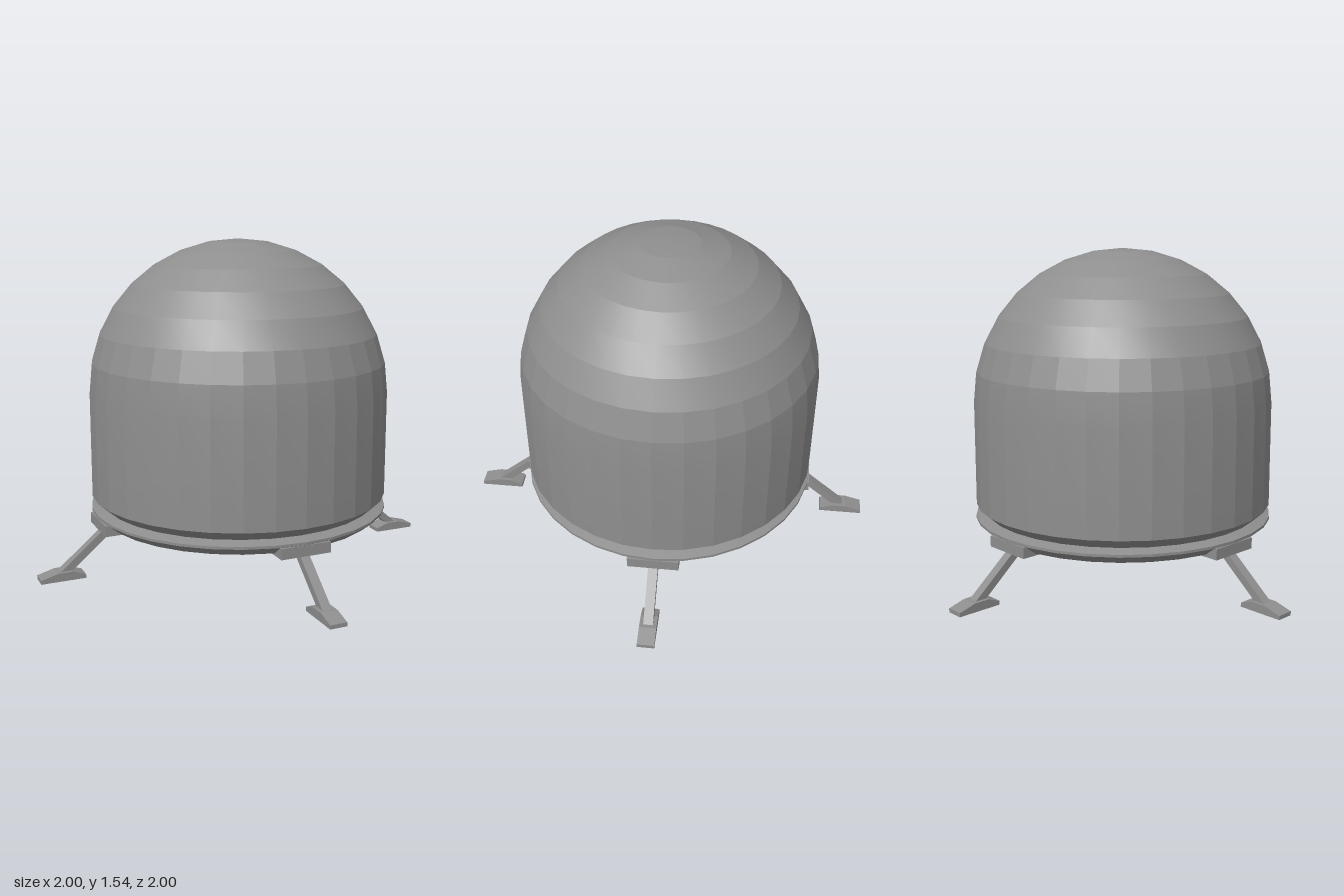
import * as THREE from 'three';
import { toCreasedNormals } from 'three/addons/utils/BufferGeometryUtils.js';

const SIDES = 32;
const CREASE = THREE.MathUtils.degToRad(10);
const material = new THREE.MeshStandardMaterial({ color: 0x8e8e8e });

function addMesh(parent, name, geometry) {
  const mesh = new THREE.Mesh(toCreasedNormals(geometry, CREASE), material);
  mesh.name = name;
  parent.add(mesh);
}

// Revolved profile, listed as [radius, height] from bottom to top
function revolve(profile) {
  return new THREE.LatheGeometry(profile.map(([r, y]) => new THREE.Vector2(r, y)), SIDES);
}

// Side outline as [outward distance, height], extruded to a centred width.
// Outward distance runs along +x.
function slab(outline, width) {
  const shape = new THREE.Shape(outline.map(([x, y]) => new THREE.Vector2(x, y)));
  const geometry = new THREE.ExtrudeGeometry(shape, { depth: width, bevelEnabled: false });
  return geometry.translate(0, 0, -width / 2);
}

// One landing leg pointing along +x
function createLeg() {
  const leg = new THREE.Group();
  addMesh(leg, 'bracket', slab([[0.62, 0.212], [0.715, 0.212], [0.715, 0.262], [0.62, 0.262]], 0.24));
  addMesh(leg, 'strut', slab([[0.635, 0.22], [0.86, 0.03], [0.915, 0.03], [0.69, 0.22]], 0.045));
  addMesh(leg, 'foot', slab(
    [[0.79, 0], [1, 0], [1, 0.018], [0.92, 0.04], [0.85, 0.04], [0.79, 0.018]], 0.08));
  return leg;
}

export function createModel() {
  const model = new THREE.Group();
  model.name = 'domedCapsule';

  // Hull: tapered lower lip, straight wall, hemispherical dome
  const radius = 0.712, domeBase = 0.83, rings = 8;
  const hull = [[0.66, 0.288], [radius, 0.335]];
  for (let i = 0; i <= rings; i++) {
    const a = (i / rings) * Math.PI / 2;
    hull.push([i === rings ? 0 : radius * Math.cos(a), domeBase + radius * Math.sin(a)]);
  }
  addMesh(model, 'domedHull', revolve(hull));

  // Base: recessed floor, bevelled rim and shoulder meeting the hull lip
  addMesh(model, 'baseRing', revolve([
    [0, 0.277], [0.61, 0.277], [0.665, 0.224], [0.715, 0.264], [0.715, 0.276], [0.66, 0.29],
  ]));

  // Four legs at right angles
  ['leftLeg', 'backLeg', 'rightLeg', 'frontLeg'].forEach((name, i) => {
    const leg = createLeg();
    leg.name = name;
    leg.rotation.y = i * Math.PI / 2;
    model.add(leg);
  });

  return model;
}
